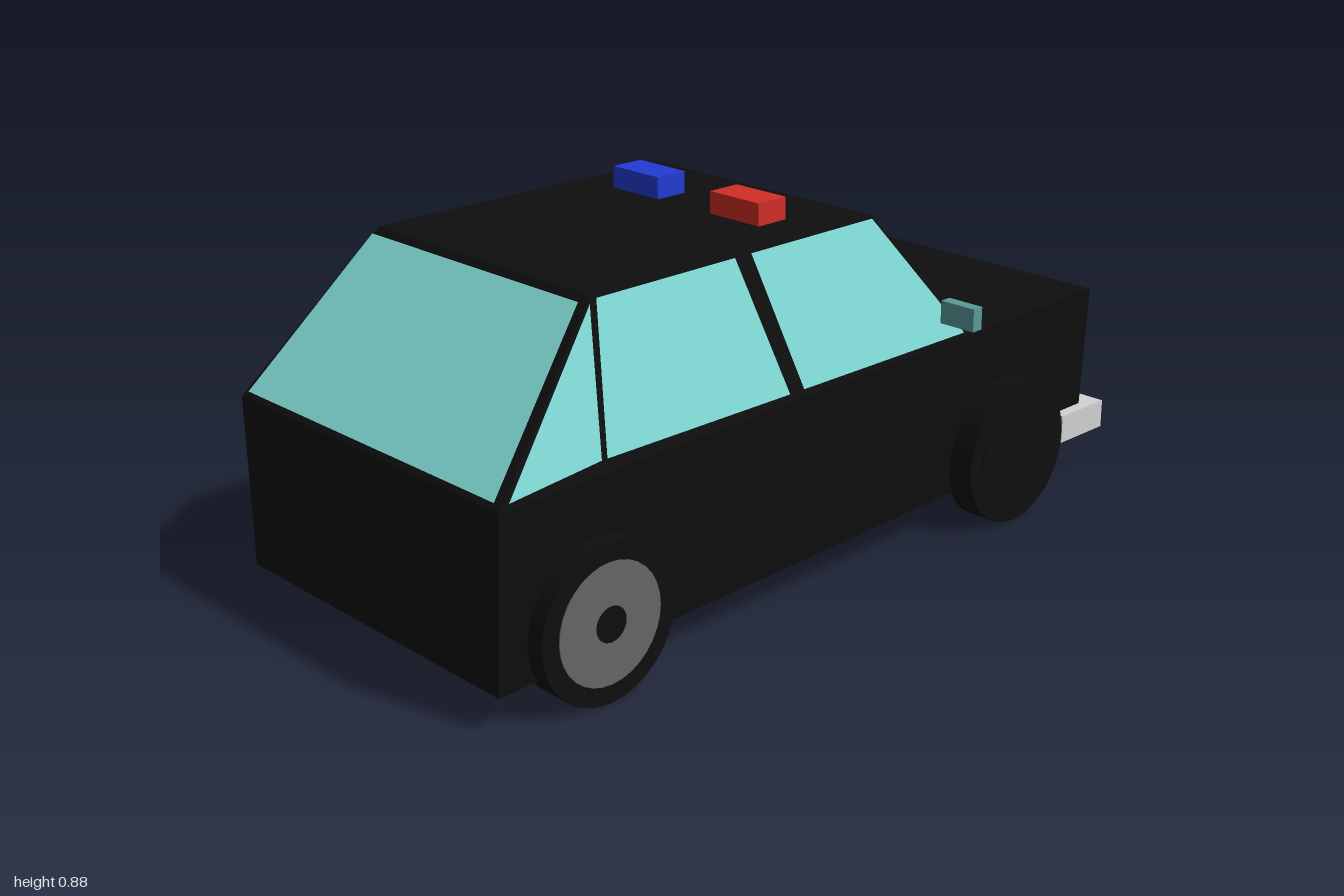
import * as THREE from 'three';

const mat = (name, color, side = THREE.FrontSide) => {
  const m = new THREE.MeshStandardMaterial({ color, side });
  m.name = name;
  return m;
};

// Half-width planes of the slightly skewed shell: s = 1 is the +z side
const zAt = (s, x, y) => {
  if (y < 0.45) return s > 0 ? 0.434 - 0.014 * x : -0.439 - 0.014 * x;
  return s > 0
    ? 0.452 - 0.014 * x - 0.34 * (y - 0.5)
    : -0.444 - 0.014 * x + 0.22 * (y - 0.5);
};

// Flat-shaded geometry from convex polygons, each a loop of points
function polygons(list) {
  const pos = [];
  for (const p of list)
    for (let i = 1; i < p.length - 1; i++) pos.push(...p[0], ...p[i], ...p[i + 1]);
  const g = new THREE.BufferGeometry();
  g.setAttribute('position', new THREE.Float32BufferAttribute(pos, 3));
  g.computeVertexNormals();
  return g;
}

export function createModel() {
  const car = new THREE.Group();
  car.name = 'car';
  const black = mat('black paint', 0x0e0e0e);
  const glass = mat('teal glass', 0x7fd8d4, THREE.DoubleSide);
  const mirrorTeal = mat('dark teal', 0x599a99);
  const silver = mat('silver trim', 0xd2d2d2);
  const grey = mat('hub grey', 0x666666);
  const red = mat('red lamp', 0xd22e26);
  const blue = mat('blue lamp', 0x213cd4);

  const add = (name, geo, m, x = 0, y = 0, z = 0, parent = car) => {
    const mesh = new THREE.Mesh(geo, m);
    mesh.name = name;
    mesh.position.set(x, y, z);
    parent.add(mesh);
    return mesh;
  };
  // Box given by its limits along each axis
  const box = (name, m, [x0, x1], [y0, y1], [z0, z1], parent = car) =>
    add(name, new THREE.BoxGeometry(x1 - x0, y1 - y0, z1 - z0), m,
      (x0 + x1) / 2, (y0 + y1) / 2, (z0 + z1) / 2, parent);

  // Body shell: side outline joined across the width
  const outline = [[-1, 0.085], [0.94, 0.105], [0.94, 0.51], [0.44, 0.51],
    [0.2, 0.825], [-0.66, 0.825], [-1, 0.49]];
  const at = (s, [x, y], out = 0) => [x, y, zAt(s, x, y) + s * out];
  const faces = outline.map((a, i) => {
    const b = outline[(i + 1) % outline.length];
    return [at(1, a), at(-1, a), at(-1, b), at(1, b)];
  });
  for (const loop of [[6, 0, 1, 2, 3], [6, 3, 4, 5]]) {
    const side = loop.map(i => outline[i]);
    faces.push(side.map(p => at(1, p)), side.map(p => at(-1, p)).reverse());
  }
  add('body', polygons(faces), black);

  // Side windows
  const sidePanes = {
    quarterWindow: [[-0.975, 0.503], [-0.73, 0.52], [-0.668, 0.81]],
    rearDoorWindow: [[-0.715, 0.52], [-0.18, 0.517], [-0.25, 0.818], [-0.648, 0.818]],
    frontDoorWindow: [[-0.135, 0.517], [0.425, 0.515], [0.197, 0.818], [-0.2, 0.818]],
  };
  for (const s of [1, -1])
    for (const [name, pts] of Object.entries(sidePanes)) {
      const loop = pts.map(p => at(s, p, 0.004));
      add(name, polygons([s > 0 ? loop : loop.reverse()]), glass);
    }

  // Windscreen and rear window, lying just outside the sloped faces
  add('windscreen', polygons([[[0.437, 0.52, 0.42], [0.437, 0.52, -0.403],
    [0.216, 0.81, -0.345], [0.216, 0.81, 0.325]]]), glass);
  add('rearWindow', polygons([[[-0.993, 0.503, -0.415], [-0.993, 0.503, 0.445],
    [-0.68, 0.812, 0.338], [-0.68, 0.812, -0.363]]]), glass);

  // Hood bulge with a shallow central ridge
  const ridge = new THREE.Shape([[-0.15, 0.505], [0.15, 0.505], [0.1, 0.516], [0, 0.532], [-0.1, 0.516]]
    .map(p => new THREE.Vector2(...p)));
  const bulge = new THREE.ExtrudeGeometry(ridge, { depth: 0.2, bevelEnabled: false });
  add('hoodBulge', bulge.rotateY(Math.PI / 2), black, 0.5);

  // Wheels
  const tyre = new THREE.CylinderGeometry(0.18, 0.18, 0.075, 40).rotateX(Math.PI / 2);
  const disc = r => new THREE.CylinderGeometry(r, r, 0.004, 32).rotateX(Math.PI / 2);
  const hubDisc = disc(0.137), capDisc = disc(0.04);
  for (const x of [-0.748, 0.588])
    for (const s of [1, -1]) {
      const wheel = new THREE.Group();
      wheel.name = x > 0 ? 'frontWheel' : 'rearWheel';
      wheel.position.set(x, 0.18, s > 0 ? 0.46 : -0.473);
      add('tyre', tyre, black, 0, 0, 0, wheel);
      // one front wheel has a plain black hub
      add('hub', hubDisc, x > 0 && s > 0 ? black : grey, 0, 0, s * 0.038, wheel);
      add('hubCap', capDisc, black, 0, 0, s * 0.04, wheel);
      car.add(wheel);
    }

  // Front bumper
  box('bumper', silver, [0.83, 1], [0.125, 0.197], [-0.472, 0.455]);

  // Headlamps: housing, dark seam and raised lens
  for (const [z0, z1] of [[0.245, 0.395], [-0.405, -0.255]])
    for (const [y0, y1] of [[0.315, 0.432], [0.234, 0.295]]) {
      box('headlampHousing', silver, [0.93, 0.96], [y0, y1], [z0, z1]);
      box('headlampSeam', grey, [0.955, 0.961], [y0 + 0.011, y1 - 0.011], [z0 + 0.011, z1 - 0.011]);
      box('headlampLens', silver, [0.955, 0.966], [y0 + 0.013, y1 - 0.013], [z0 + 0.013, z1 - 0.013]);
    }

  // Grille: frame with a lattice of bars over the dark nose
  const grille = new THREE.Group();
  grille.name = 'grille';
  car.add(grille);
  const gx = [0.935, 0.968], gy = [0.24, 0.425], gz = [-0.187, 0.172], w = 0.016;
  box('grilleFrame', silver, gx, [gy[0], gy[0] + w], gz, grille);
  box('grilleFrame', silver, gx, [gy[1] - w, gy[1]], gz, grille);
  box('grilleFrame', silver, gx, gy, [gz[0], gz[0] + w], grille);
  box('grilleFrame', silver, gx, gy, [gz[1] - w, gz[1]], grille);
  const bx = [0.935, 0.958];
  for (let i = 1; i < 8; i++) {
    const z = gz[0] + w + (gz[1] - gz[0] - 2 * w) * i / 8;
    box('grilleBar', silver, bx, gy, [z - 0.004, z + 0.004], grille);
  }
  for (let i = 1; i < 7; i++) {
    const y = gy[0] + w + (gy[1] - gy[0] - 2 * w) * i / 7;
    box('grilleBar', silver, bx, [y - 0.003, y + 0.003], gz, grille);
  }

  // Door mirrors
  for (const s of [1, -1])
    add('mirror', new THREE.BoxGeometry(0.03, 0.055, 0.096), mirrorTeal, 0.335, 0.593, s * 0.505);

  // Roof lamps
  box('redLamp', red, [-0.055, 0.032], [0.822, 0.878], [0.075, 0.23]);
  box('blueLamp', blue, [-0.055, 0.032], [0.822, 0.878], [-0.255, -0.1]);

  return car;
}
